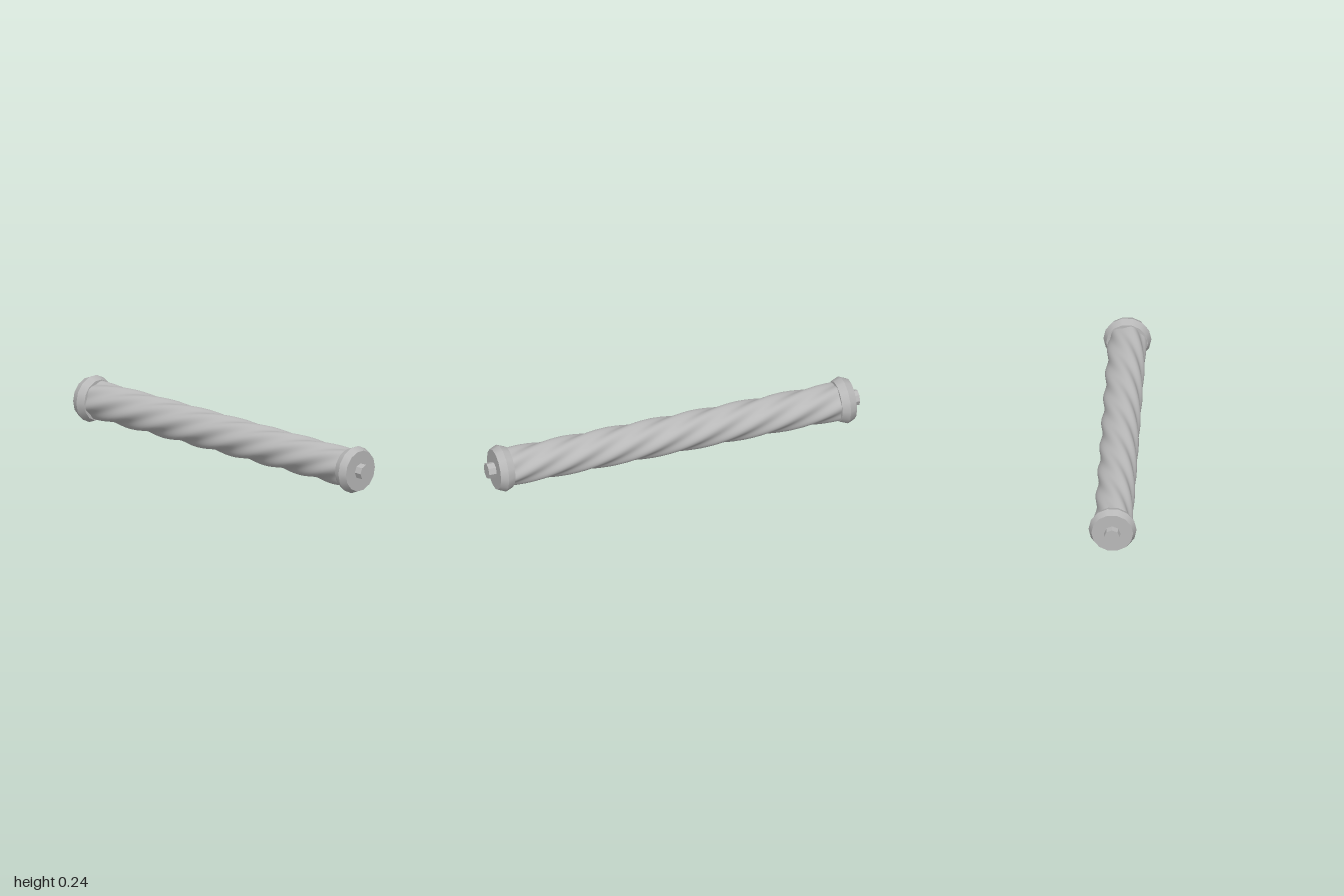
import * as THREE from 'three';

const AXIS_Y = 0.119;

// Tapered band along z, from zBack to zFront, with a vertex on +x
function band(rBack, rFront, zBack, zFront, sides, open) {
  const g = new THREE.CylinderGeometry(rFront, rBack, zFront - zBack, sides, 1, open, Math.PI / 2);
  g.rotateX(Math.PI / 2);
  g.translate(0, 0, (zFront + zBack) / 2);
  return g;
}

// Six-lobed rod, twisted one lobe per wave
function twistedRod(halfLength, wave, rings, sides) {
  const pos = [], idx = [];
  const twist = -(Math.PI / 3) / wave;
  for (let i = 0; i <= rings; i++) {
    const z = -halfLength + (2 * halfLength * i) / rings;
    for (let j = 0; j < sides; j++) {
      const a = (j / sides) * Math.PI * 2;
      const r = 0.094 - 0.006 * Math.cos(6 * a);
      const t = a + twist * z;
      pos.push(r * Math.cos(t), r * Math.sin(t), z);
      if (i < rings) {
        const k = (j + 1) % sides;
        const p = i * sides + j, q = i * sides + k;
        idx.push(p, q, q + sides, p, q + sides, p + sides);
      }
    }
  }
  const g = new THREE.BufferGeometry();
  g.setAttribute('position', new THREE.Float32BufferAttribute(pos, 3));
  g.setIndex(idx);
  g.computeVertexNormals();
  return g;
}

export function createModel() {
  const model = new THREE.Group();
  model.name = 'twistedBar';
  const metal = new THREE.MeshStandardMaterial({ color: 0xb8b8b8 });
  metal.name = 'grey metal';

  const add = (parent, name, geometry) => {
    const mesh = new THREE.Mesh(geometry, metal);
    mesh.name = name;
    parent.add(mesh);
  };

  // Main shaft
  add(model, 'shaft', twistedRod(0.9, 0.237, 90, 60));

  // Matching collar and pin at each end
  for (const name of ['frontEnd', 'backEnd']) {
    const end = new THREE.Group();
    end.name = name;
    add(end, 'collarOuterBevel', band(0.122, 0.106, 0.922, 0.96, 14, true));
    add(end, 'collarInnerBevel', band(0.106, 0.122, 0.882, 0.922, 14, true));

    const face = new THREE.CircleGeometry(0.106, 14);
    face.translate(0, 0, 0.96);
    add(end, 'collarFace', face);
    const back = new THREE.CircleGeometry(0.106, 14);
    back.rotateY(Math.PI);
    back.translate(0, 0, 0.882);
    add(end, 'collarBack', back);

    const pin = band(0.041, 0.041, 0.95, 1, 8, false).toNonIndexed();
    pin.computeVertexNormals();
    add(end, 'pin', pin);

    if (name === 'backEnd') end.rotation.y = Math.PI;
    model.add(end);
  }

  // Rest the collars on the ground
  model.children.forEach((part) => { part.position.y = AXIS_Y; });
  return model;
}
